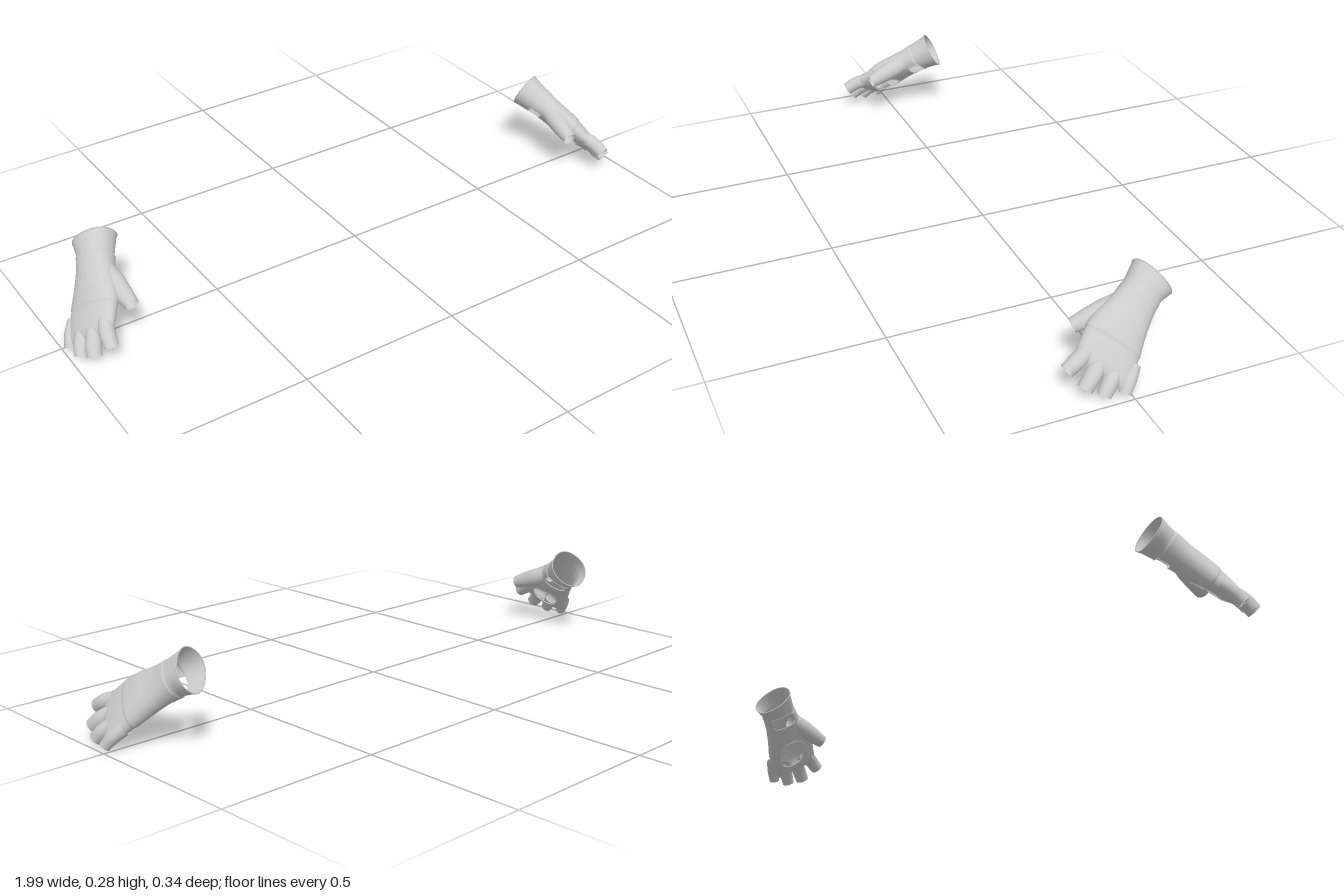
import * as THREE from 'three';

const V = (x, y, z) => new THREE.Vector3(x, y, z);
const COLS = 72, ROWS = 84, V0 = -0.005, V1 = 0.297;

// Glove frame: x across to the thumb, y along the fingers, z out of the back of the hand
const along = V(0.424, -0.54, 0.727).normalize();
const across = V(-0.52, 0.51, 0.684);
across.addScaledVector(along, -across.dot(along)).normalize();
const back = across.clone().cross(along);
const frame = new THREE.Matrix4().makeBasis(across, along, back).setPosition(0.815, 0.213, -0.14);

// Hand sections from cuff to knuckles: centre, half width, half thickness
const stations = [-0.005, 0.05, 0.085, 0.12, 0.16, 0.2, 0.245, 0.275, 0.29, 0.297];
const sections = new THREE.CubicInterpolant(stations, new Float32Array([
  0.007, 0.064, 0.056, 0.012, 0.056, 0.047, 0.014, 0.058, 0.042, 0.016, 0.065, 0.04,
  0.017, 0.074, 0.039, 0.014, 0.081, 0.036, 0.006, 0.084, 0.03, 0.002, 0.084, 0.023,
  0.001, 0.083, 0.013, 0.0, 0.082, 0.001,
]), 3);

// Openings on the palm side: centre angle, centre station, half sizes, roundness power
const palmHole = { a: 1.5 * Math.PI - 0.1, v: 0.207, ha: 0.56, hv: 0.048, p: 2.3 };
const wristGap = { a: 1.5 * Math.PI - 0.05, v: 0.068, ha: 0.7, hv: 0.023, p: 5 };
const openings = [palmHole, wristGap];

function handPoint(a, v) {
  const [c, w, h] = sections.evaluate(v);
  const lip = v > 0.05 && v < 0.2 ? 0.0025 : 0; // raised panel between the two seams
  const bulge = (t) => Math.sign(t) * Math.abs(t) ** 0.9;
  const u = c + (w + lip) * bulge(Math.cos(a));
  const tilt = 0.2 * (1 - THREE.MathUtils.smoothstep(v, 0, 0.05));
  return V(u, v - tilt * u, (h + lip) * bulge(Math.sin(a)));
}

// Radial distance to an opening's edge, 1 on the edge
function reach(o, a, v) {
  return (Math.abs((a - o.a) / o.ha) ** o.p + Math.abs((v - o.v) / o.hv) ** o.p) ** (1 / o.p);
}

// Grid of rows closed around its columns; side -1 mirrors it
function grid(rows, cols, point, side, keep = () => true) {
  const pos = [], idx = [];
  for (let i = 0; i <= rows; i++) {
    for (let j = 0; j < cols; j++) {
      const p = point(i, j).applyMatrix4(frame);
      pos.push(p.x * side, p.y, p.z);
      if (i === rows || !keep(i, j)) continue;
      const k = (j + 1) % cols;
      const a = i * cols + j, b = a + cols, c = (i + 1) * cols + k, d = i * cols + k;
      if (side > 0) idx.push(a, b, c, a, c, d);
      else idx.push(a, c, b, a, d, c);
    }
  }
  const g = new THREE.BufferGeometry();
  g.setAttribute('position', new THREE.Float32BufferAttribute(pos, 3));
  g.setIndex(idx);
  g.computeVertexNormals();
  return g;
}

// Hand shell whose vertices slide out to the edges of the openings
function handShell(side) {
  const angle = (j) => (j / COLS) * 2 * Math.PI;
  const station = (i) => V0 + (i / ROWS) * (V1 - V0);
  const inside = (o, i, j) => reach(o, angle(j), station(i)) < 1;
  const point = (i, j) => {
    let a = angle(j), v = station(i);
    for (const o of openings) {
      const r = reach(o, a, v);
      if (r < 1 && r > 1e-6) {
        a = o.a + (a - o.a) / r;
        v = o.v + (v - o.v) / r;
      }
    }
    return handPoint(a, v);
  };
  const keep = (i, j) => !openings.some((o) =>
    [[0, 0], [1, 0], [0, 1], [1, 1]].every(([m, n]) => inside(o, i + m, j + n)));
  return grid(ROWS, COLS, point, side, keep);
}

// Open sleeve along a path, with a radius for each path point
function sleeve(points, radii, side) {
  const curve = new THREE.CatmullRomCurve3(points);
  const rows = 16, cols = 24;
  return grid(rows, cols, (i, j) => {
    const t = i / rows, s = t * (radii.length - 1), k = Math.min(Math.floor(s), radii.length - 2);
    const r = THREE.MathUtils.lerp(radii[k], radii[k + 1], s - k);
    const dir = curve.getTangent(t);
    const e1 = V(1, 0, 0).addScaledVector(dir, -dir.x).normalize();
    const e2 = e1.clone().cross(dir);
    const a = (j / cols) * 2 * Math.PI;
    return curve.getPoint(t).addScaledVector(e1, r * Math.cos(a)).addScaledVector(e2, r * Math.sin(a));
  }, side);
}

// Thin piping that follows a closed line on the hand
function piping(line, side) {
  const pts = [];
  for (let k = 0; k < 40; k++) {
    const p = line((k / 40) * 2 * Math.PI).applyMatrix4(frame);
    pts.push(V(p.x * side, p.y, p.z));
  }
  return new THREE.TubeGeometry(new THREE.CatmullRomCurve3(pts, true), 80, 0.0018, 6, true);
}

function edgeOf(o) {
  return (t) => {
    const c = Math.cos(t), s = Math.sin(t);
    const r = (Math.abs(c) ** o.p + Math.abs(s) ** o.p) ** (-1 / o.p);
    return handPoint(o.a + o.ha * r * c, o.v + o.hv * r * s);
  };
}

// Fingers: base across, tip across, tip along, base and tip radius
const fingers = [
  ['indexFinger', 0.06, 0.08, 0.331, 0.023, 0.021],
  ['middleFinger', 0.017, 0.016, 0.346, 0.0235, 0.022],
  ['ringFinger', -0.027, -0.036, 0.333, 0.022, 0.0195],
  ['littleFinger', -0.064, -0.081, 0.298, 0.0195, 0.0165],
];

function glove(side, name) {
  const group = new THREE.Group();
  group.name = name;
  const material = new THREE.MeshStandardMaterial({ color: 0xcccccc, side: THREE.DoubleSide });
  const add = (part, geometry) => {
    const mesh = new THREE.Mesh(geometry, material);
    mesh.name = part;
    group.add(mesh);
  };
  add('handAndCuff', handShell(side));
  add('palmOpeningRim', piping(edgeOf(palmHole), side));
  add('wristOpeningRim', piping(edgeOf(wristGap), side));
  add('cuffHem', piping((t) => handPoint(t, V0), side));
  for (const [part, u0, u1, tip, r0, r1] of fingers) {
    const path = [V(u0, tip - 0.075, 0.002), V((u0 + u1) / 2, tip - 0.035, 0.004), V(u1, tip, -0.002)];
    add(part, sleeve(path, [r0, r0, r1], side));
  }
  // Thumb leaves the wrist side and bends towards the palm
  add('thumb', sleeve(
    [V(0.045, 0.095, -0.006), V(0.073, 0.14, -0.018), V(0.098, 0.18, -0.03), V(0.119, 0.212, -0.04)],
    [0.028, 0.031, 0.027, 0.021], side));
  return group;
}

export function createModel() {
  const model = new THREE.Group();
  model.name = 'fingerlessGloves';
  model.add(glove(1, 'leftGlove'), glove(-1, 'rightGlove'));
  return model;
}
